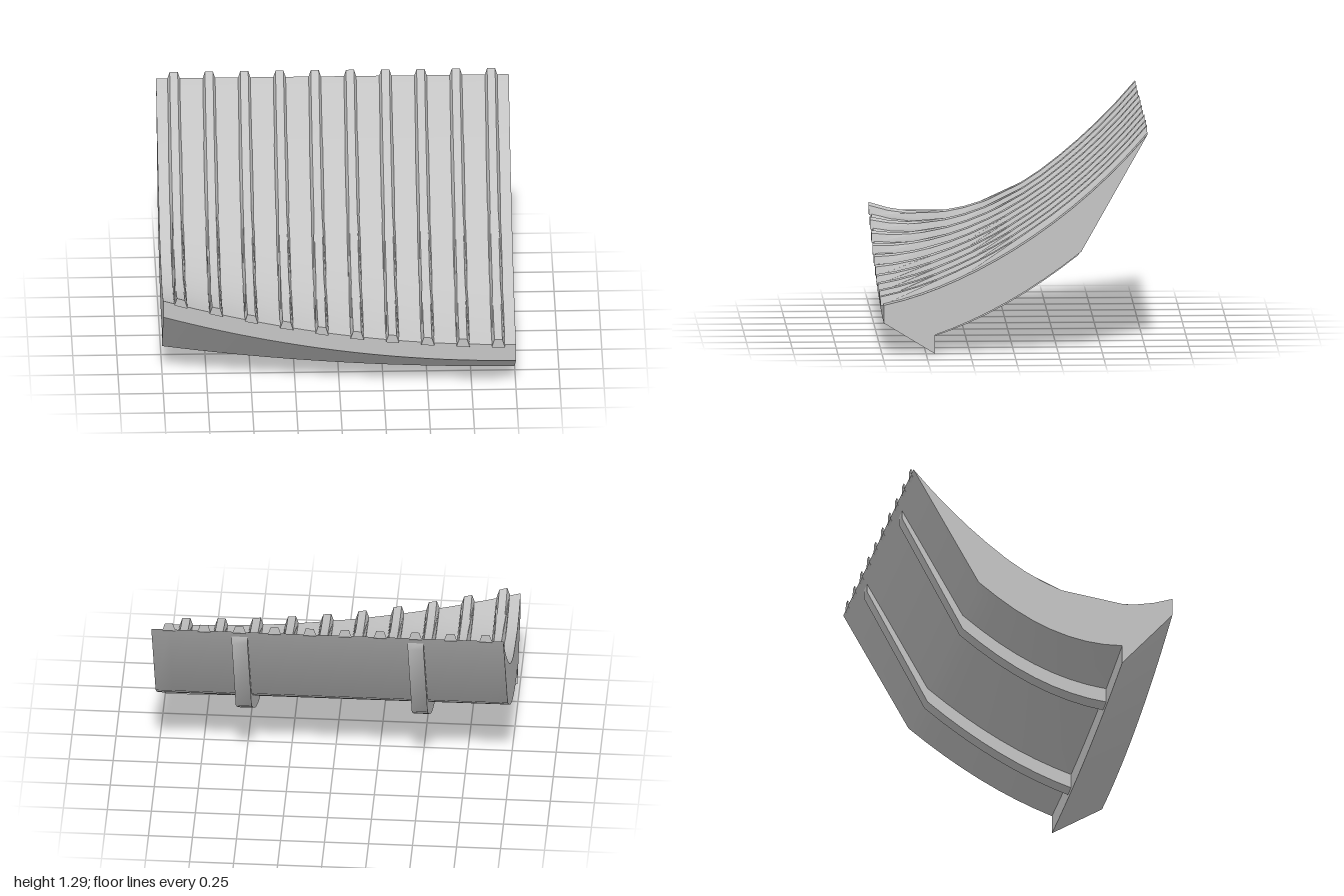
import * as THREE from 'three';
import { toCreasedNormals } from 'three/addons/utils/BufferGeometryUtils.js';

const BACK = -0.757, LIP = 0.45, KINK = -0.38;

// Height of the upper and lower faces along the depth, before the corner is raised
const upper = z => 0.595 - 0.62 * z + 0.266 * z ** 2 - 0.041 * z ** 3 + 0.054 * z ** 4;
const lower = z => 0.32 - 0.5875 * z + 0.27 * z * z;

// The front right corner sweeps upwards
const lift = (x, z) => 0.3 * (Math.max(0, z + 0.27) / 1.01) ** 2 * ((1 - x) / 2) ** 2;

// Points [z, y] of a curve sampled between two depths
function sample(f, from, to, n) {
  return Array.from({ length: n + 1 }, (_, i) => {
    const z = from + (to - from) * i / n;
    return [z, f(z)];
  });
}

// Extrude a side profile of [z, y] points across x, then bend it with the surface
function sweep(profile, x, width, steps, taper = 1) {
  const shape = new THREE.Shape(profile.map(([z, y]) => new THREE.Vector2(-z, y)));
  const geo = new THREE.ExtrudeGeometry(shape, { depth: width, steps, bevelEnabled: false });
  geo.rotateY(Math.PI / 2);
  geo.translate(-width / 2, 0, 0);
  const p = geo.attributes.position;
  for (let i = 0; i < p.count; i++) {
    const z = p.getZ(i), y = p.getY(i);
    const raised = y > upper(z) + 0.015;
    const px = x + p.getX(i) * (raised ? taper : 1);
    p.setXYZ(i, px, y + lift(px, z), z);
  }
  return toCreasedNormals(geo, 0.6);
}

export function createModel() {
  const group = new THREE.Group();
  const grey = new THREE.MeshStandardMaterial({ color: 0xc4c4c4 });
  grey.name = 'light grey';
  const add = (name, geo) => {
    const mesh = new THREE.Mesh(geo, grey);
    mesh.name = name;
    group.add(mesh);
  };

  // Curved panel with a deep front lip and a thin back edge
  add('panel', sweep([
    ...sample(upper, BACK, 0.74, 14),
    [0.74, 0.18], [LIP, 0.003],
    ...sample(lower, LIP, KINK, 8),
  ], 0, 2, 20));

  // Tapered ribs along the upper face
  const rib = [
    ...sample(z => upper(z) + 0.04, BACK, 0.755, 14),
    ...sample(z => upper(z) - 0.008, 0.755, BACK, 14),
  ];
  for (let i = 0; i < 10; i++) add('rib', sweep(rib, -0.9 + i * 0.2, 0.075, 1, 0.6));

  // Two runners under the panel
  const runner = [
    ...sample(z => lower(z) - 0.083, LIP + 0.003, KINK, 8),
    [-0.73, 1.155], [-0.73, 1.202],
    ...sample(z => lower(z) + 0.005, KINK, LIP + 0.003, 8),
  ];
  for (const x of [-0.5, 0.5]) add('runner', sweep(runner, x, 0.09, 1));

  return group;
}
